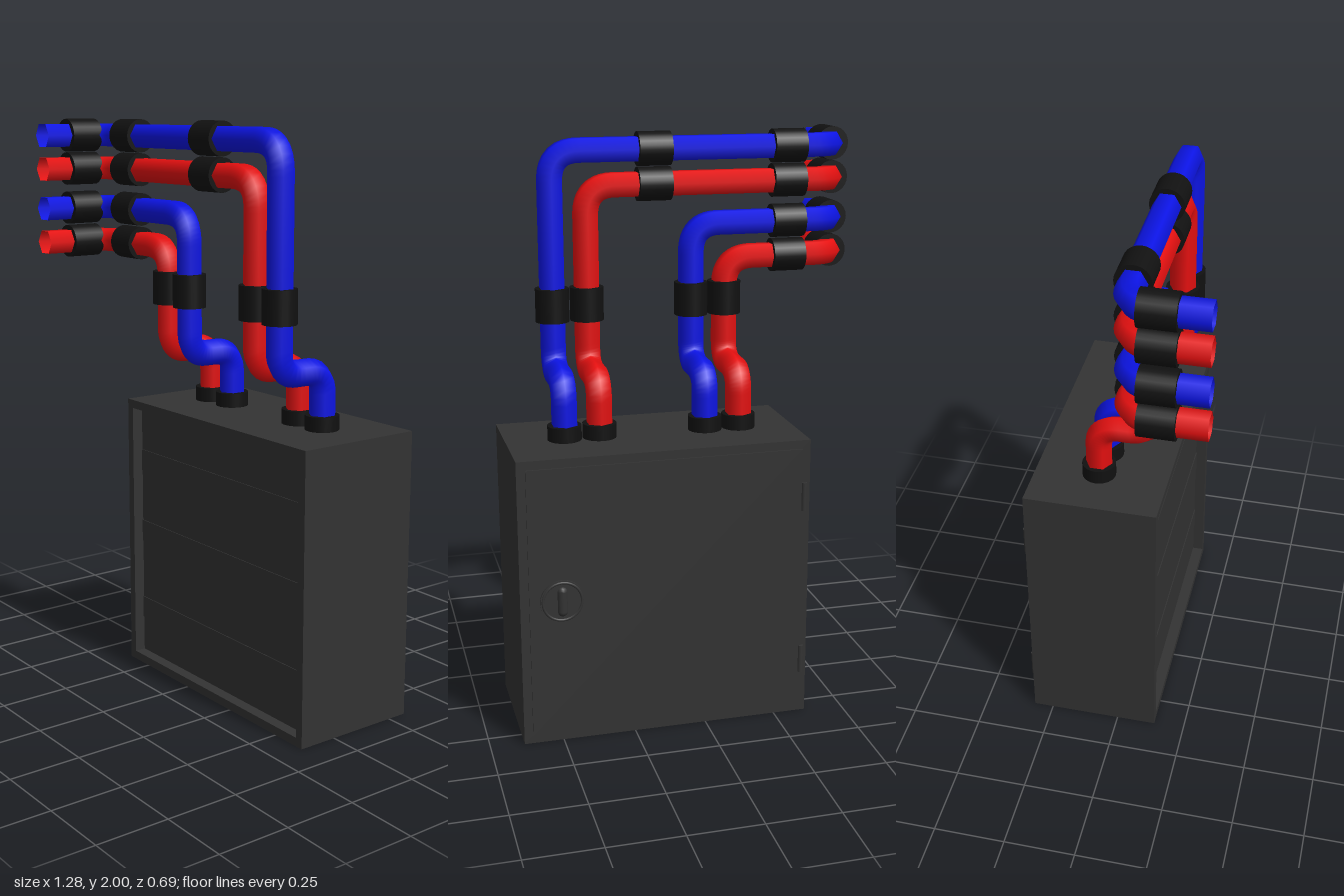
import * as THREE from 'three';

const paint = (color, side = THREE.FrontSide) => new THREE.MeshStandardMaterial({ color, side });
const metal = paint(0x333333);
const rubber = paint(0x111111);
const blue = paint(0x0c14e6, THREE.DoubleSide);
const red = paint(0xe61010, THREE.DoubleSide);
const V = (x, y, z) => new THREE.Vector3(x, y, z);

function add(parent, name, geometry, material, x = 0, y = 0, z = 0) {
  const mesh = new THREE.Mesh(geometry, material);
  mesh.name = name;
  mesh.position.set(x, y, z);
  parent.add(mesh);
  return mesh;
}

// Polyline with rounded corners; radii[i] belongs to inner corner i + 1
function roundedPath(points, radii) {
  const path = new THREE.CurvePath();
  let from = points[0];
  for (let i = 1; i < points.length - 1; i++) {
    const p = points[i];
    const r = radii[i - 1];
    const a = p.clone().add(points[i - 1].clone().sub(p).setLength(r));
    const b = p.clone().add(points[i + 1].clone().sub(p).setLength(r));
    path.add(new THREE.LineCurve3(from, a));
    path.add(new THREE.QuadraticBezierCurve3(a, p, b));
    from = b;
  }
  path.add(new THREE.LineCurve3(from, points[points.length - 1]));
  return path;
}

// Black collar around a pipe, lying along the given axis
function collar(parent, name, axis, length, x, y, z) {
  const geometry = new THREE.CylinderGeometry(0.058, 0.058, length, 24);
  if (axis === 'x') geometry.rotateZ(Math.PI / 2);
  if (axis === 'z') geometry.rotateX(Math.PI / 2);
  add(parent, name, geometry, rubber, x, y, z);
}

function createCabinet() {
  const g = new THREE.Group();
  g.name = 'cabinet';
  const cx = 0.135;
  add(g, 'cabinetBody', new THREE.BoxGeometry(1, 1, 0.42), metal, cx, 0.5, -0.11);

  // Rim around the recessed front
  const rim = new THREE.Shape([[-0.5, 0], [0.5, 0], [0.5, 1], [-0.5, 1]].map(p => new THREE.Vector2(...p)));
  rim.holes.push(new THREE.Path([[-0.47, 0.03], [-0.47, 0.97], [0.47, 0.97], [0.47, 0.03]].map(p => new THREE.Vector2(...p))));
  add(g, 'frontRim', new THREE.ExtrudeGeometry(rim, { depth: 0.04, bevelEnabled: false }), metal, cx, 0, 0.1);

  // Mounting rails across the recess
  for (const y of [0.2, 0.5, 0.77]) {
    add(g, 'mountingRail', new THREE.BoxGeometry(0.94, 0.08, 0.006), metal, cx, y, 0.1);
  }

  // Rear door with hinge and lock
  add(g, 'door', new THREE.BoxGeometry(0.94, 0.94, 0.012), metal, cx, 0.5, -0.32);
  for (const y of [0.2, 0.8]) {
    add(g, 'hinge', new THREE.CylinderGeometry(0.01, 0.01, 0.1, 12), metal, -0.345, y, -0.32);
  }
  add(g, 'lockPlate', new THREE.CylinderGeometry(0.075, 0.075, 0.012, 32).rotateX(Math.PI / 2), metal, 0.495, 0.51, -0.326);
  add(g, 'lockRing', new THREE.TorusGeometry(0.066, 0.005, 8, 32), metal, 0.495, 0.51, -0.331);
  add(g, 'lockHandle', new THREE.CapsuleGeometry(0.018, 0.07, 4, 12), metal, 0.495, 0.51, -0.327);
  return g;
}

function createPipe({ x, y, color, middle }) {
  const g = new THREE.Group();
  g.name = 'pipeRun';
  const back = -0.1, front = 0.085, endX = -0.584;
  const path = roundedPath([
    V(x, 0.99, back), V(x, 1.2, back), V(x, 1.2, front),
    V(x, y, front), V(endX, y, front), V(endX, y, 0.345),
  ], [0.075, 0.075, 0.1, 0.1]);
  add(g, 'pipe', new THREE.TubeGeometry(path, 120, 0.046, 6, false), color);

  collar(g, 'baseCollar', 'y', 0.07, x, 1.015, back);
  collar(g, 'riserCollar', 'y', 0.115, x, 1.425, front);
  collar(g, 'runCollar', 'x', 0.115, -0.402, y, front);
  if (middle) collar(g, 'middleCollar', 'x', 0.115, 0.077, y, front);
  collar(g, 'endCollar', 'z', 0.118, endX, y, 0.189);
  return g;
}

export function createModel() {
  const model = new THREE.Group();
  model.name = 'pipedCabinet';
  model.add(createCabinet());
  const runs = [
    { x: 0.435, y: 1.943, color: blue, middle: true },
    { x: 0.315, y: 1.825, color: red, middle: true },
    { x: -0.055, y: 1.685, color: blue },
    { x: -0.175, y: 1.565, color: red },
  ];
  for (const run of runs) model.add(createPipe(run));
  return model;
}
